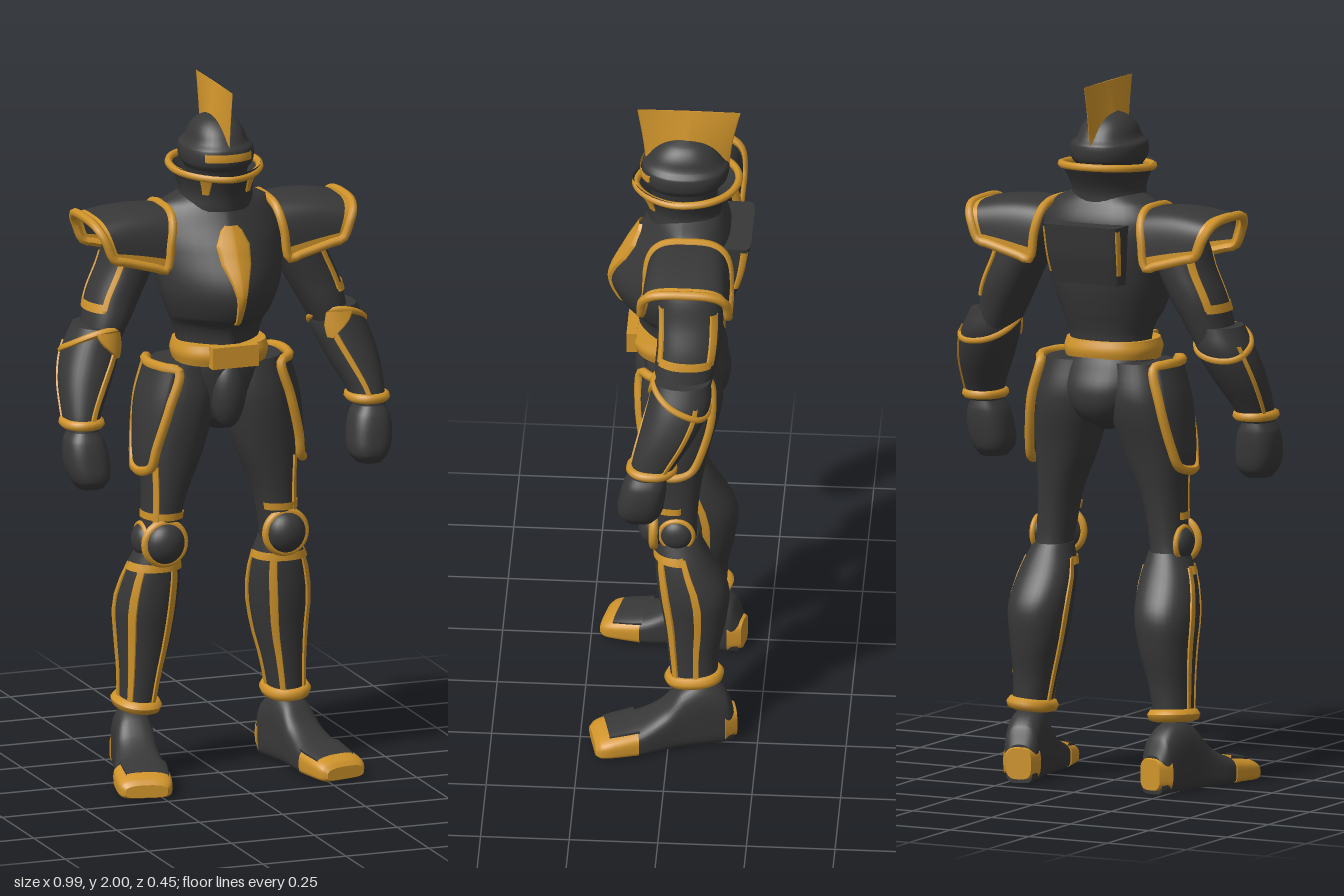
import * as THREE from 'three';

const dark = new THREE.MeshStandardMaterial({ color: 0x383838, side: THREE.DoubleSide });
dark.name = 'charcoal armour';
const gold = new THREE.MeshStandardMaterial({ color: 0xd0942b, side: THREE.DoubleSide });
gold.name = 'gold trim';

// Smooth grid from f(u, v) -> [x, y, z]; wrap closes it in u
function grid(f, nu, nv, wrap = false) {
  const pos = [], idx = [], w = wrap ? nu : nu + 1;
  for (let j = 0; j <= nv; j++) for (let i = 0; i < w; i++) pos.push(...f(i / nu, j));
  for (let j = 0; j < nv; j++) for (let i = 0; i < nu; i++) {
    const a = j * w + i, b = j * w + (i + 1) % w;
    idx.push(a, b, b + w, a, b + w, a + w);
  }
  const g = new THREE.BufferGeometry();
  g.setAttribute('position', new THREE.Float32BufferAttribute(pos, 3));
  g.setIndex(idx);
  g.computeVertexNormals();
  return g;
}

const pw = (c, e) => Math.sign(c) * Math.abs(c) ** e;

// Body surface from rows [y, centreX, halfWidth, zFront, zBack], y ascending.
// Angle 0 faces front, PI/2 faces +x. e and ef are the back and front roundness.
function surface(rows, e = 0.9, ef = e) {
  const n = rows.length - 1;
  const slope = (j, k) => {
    const p = rows[Math.max(j - 1, 0)], q = rows[Math.min(j + 1, n)];
    return (q[k] - p[k]) / (q[0] - p[0]);
  };
  const value = (y, k) => {
    let i = 0;
    while (i < n - 1 && y > rows[i + 1][0]) i++;
    const p = rows[i], q = rows[i + 1], h = q[0] - p[0];
    const t = THREE.MathUtils.clamp((y - p[0]) / h, 0, 1), t2 = t * t, t3 = t2 * t;
    return (2 * t3 - 3 * t2 + 1) * p[k] + (t3 - 2 * t2 + t) * h * slope(i, k)
      + (3 * t2 - 2 * t3) * q[k] + (t3 - t2) * h * slope(i + 1, k);
  };
  const at = (a, y, off = 0, s = 1) => {
    const c = Math.cos(a), x = c > 0 ? ef : e, zf = value(y, 3) + off, zb = value(y, 4) - off;
    return [value(y, 1) + s * (value(y, 2) + off) * pw(Math.sin(a), x), y,
      (zf + zb) / 2 + s * (zf - zb) / 2 * pw(c, x)];
  };
  return { rows, at };
}

// Closed (capped) or open skin over a surface
function skin(s, capped = true) {
  const ys = [], sub = 5;
  s.rows.forEach((r, i) => {
    if (!i) return ys.push([r[0], 1]);
    const p = s.rows[i - 1][0];
    for (let k = 1; k <= sub; k++) ys.push([p + (r[0] - p) * k / sub, 1]);
  });
  if (capped) {
    const lo = ys[0][0], hi = ys[ys.length - 1][0];
    ys.unshift([lo, 0], [lo, 1]);
    ys.push([hi, 1], [hi, 0]);
  }
  return grid((u, j) => s.at(u * Math.PI * 2, ys[j][0], 0, ys[j][1]), 36, ys.length - 1, true);
}

// Thin plate lying on a surface, its sides sunk into it; rows [y, angle0, angle1], y ascending
function patch(s, rows, off = 0.005) {
  const sub = 8;
  return grid((u, j) => {
    const i = Math.min(Math.floor(j / sub), rows.length - 2), t = j / sub - i;
    const [y, a, b] = rows[i].map((v, k) => v + (rows[i + 1][k] - v) * t);
    return s.at(a + (b - a) * u, y, u === 0 || u === 1 ? -.002 : off);
  }, 20, sub * (rows.length - 1));
}

const tube = (pts, r) => new THREE.TubeGeometry(
  new THREE.CatmullRomCurve3(pts.map(p => new THREE.Vector3(...p)), true), 80, r, 7, true);
const ring = (s, yOf, r, off = 0) => tube(Array.from({ length: 28 }, (_, i) => {
  const a = i / 28 * Math.PI * 2;
  return s.at(a, yOf(a), off);
}), r);
const ball = (x, y, z) => new THREE.SphereGeometry(1, 24, 16).scale(x, y, z);

function add(parent, name, geo, mat, x = 0, y = 0, z = 0) {
  const m = new THREE.Mesh(geo, mat);
  m.name = name;
  m.position.set(x, y, z);
  parent.add(m);
}

function buildCore(g) {
  const torso = surface([[1.2, 0, .115, .095, -.11], [1.28, 0, .122, .1, -.115], [1.32, 0, .136, .115, -.125],
    [1.35, 0, .15, .152, -.135], [1.43, 0, .178, .18, -.155], [1.54, 0, .195, .135, -.165],
    [1.61, 0, .192, .095, -.16], [1.66, 0, .16, .07, -.14], [1.69, 0, .1, .06, -.12]], 0.85, 1.45);
  add(g, 'torso', skin(torso), dark);
  add(g, 'chestEmblem', patch(torso, [[1.335, -.12, .12], [1.42, -.18, .18], [1.46, -.26, .26], [1.51, -.38, .38],
    [1.56, -.41, .41], [1.6, -.3, .3], [1.615, -.2, .2]], .008), gold);
  add(g, 'pelvis', skin(surface([[1.01, 0, .03, .03, -.06], [1.05, 0, .08, .065, -.135], [1.12, 0, .125, .08, -.16],
    [1.19, 0, .135, .09, -.14], [1.24, 0, .12, .09, -.12]])), dark);
  add(g, 'groinGuard', ball(.05, .1, .045), dark, 0, 1.12, .065);
  const belt = surface([[1.21, 0, .13, .112, -.125], [1.24, 0, .137, .12, -.132], [1.268, 0, .13, .112, -.125]], .85);
  add(g, 'belt', skin(belt), gold);
  add(g, 'buckle', new THREE.BoxGeometry(.14, .062, .03), gold, 0, 1.24, .116);

  // Back pack with gold sides
  const pack = surface([[1.44, 0, .105, -.12, -.18], [1.52, 0, .114, -.12, -.205], [1.61, 0, .118, -.12, -.222]], .25);
  add(g, 'backPack', skin(pack), dark);
  for (const s of [-1, 1]) {
    add(g, 'packSide', patch(pack, [[1.47, s * 1.62, s * 2.2], [1.6, s * 1.62, s * 2.2]], .003), gold);
  }

  // Collar and head
  const collar = surface([[1.65, 0, .115, .075, -.135], [1.7, 0, .105, .085, -.14], [1.77, 0, .13, .118, -.182]], .95, 1.15);
  add(g, 'collar', skin(collar, false), dark);
  add(g, 'collarRim', ring(collar, a => 1.762 - .01 * Math.cos(a), .011), gold);
  for (const s of [-1, 1]) add(g, 'collarTab', patch(collar, [[1.7, s * .6, s * .78], [1.75, s * .5, s * .8]]), gold);
  const helmet = surface([[1.66, 0, .07, .05, -.11], [1.76, 0, .085, .075, -.13], [1.785, 0, .1, .09, -.15],
    [1.825, 0, .101, .09, -.155], [1.842, 0, .085, .077, -.142], [1.875, 0, .072, .055, -.12],
    [1.9, 0, .05, .025, -.09], [1.915, 0, .015, -.01, -.05]]);
  add(g, 'helmet', skin(helmet), dark);
  add(g, 'visor', patch(helmet, [[1.797, -.72, .72], [1.82, -.72, .72]]), gold);
  add(g, 'crest', skin(surface([[1.82, 0, .036, .08, -.155], [1.9, 0, .024, .089, -.165], [2, 0, .002, .105, -.187]], 1.8)), gold);
}

function buildArm(g) {
  const upper = surface([[1.26, .355, .05, .03, -.115], [1.34, .325, .064, .035, -.135], [1.41, .298, .075, .03, -.15],
    [1.49, .262, .076, .03, -.155], [1.57, .235, .075, .03, -.15], [1.63, .215, .05, 0, -.12]]);
  add(g, 'upperArm', skin(upper), dark);
  add(g, 'upperArmBand', patch(upper, [[1.372, .5, 2.5], [1.397, .5, 2.5]]), gold);
  add(g, 'upperArmFrontLine', patch(upper, [[1.38, .48, .72], [1.53, .48, .72]]), gold);
  add(g, 'upperArmBackLine', patch(upper, [[1.38, 2.2, 2.52], [1.52, 2.2, 2.52]]), gold);

  const fore = surface([[1.05, .432, .046, .1, -.01], [1.1, .425, .055, .09, -.04], [1.18, .402, .074, .07, -.09],
    [1.26, .375, .08, .05, -.125], [1.33, .355, .065, .035, -.125]]);
  add(g, 'forearm', skin(fore), dark);
  add(g, 'elbowTrim', ring(fore, a => 1.282 + .042 * Math.cos(a + .25), .01, -.002), gold);
  add(g, 'elbowPlate', patch(fore, [[1.245, -.85, -.6], [1.28, -.85, -.05], [1.32, -.7, .4]], .008), gold);
  add(g, 'forearmInnerLine', patch(fore, [[1.08, -.35, -.08], [1.28, -.7, -.45]]), gold);
  add(g, 'forearmOuterLine', patch(fore, [[1.08, 2.0, 2.2], [1.28, 2.0, 2.15]]), gold);
  add(g, 'wristBand', ring(fore, () => 1.07, .014), gold);
  add(g, 'fist', skin(surface([[.888, .42, .035, .115, .03], [.915, .42, .055, .133, .01], [.96, .425, .063, .13, 0],
    [1.02, .43, .056, .115, -.005], [1.055, .432, .036, .095, 0]], .8)), dark);

  // Shoulder guard: an arch over z, flaring outwards
  const pad = (u, v) => {
    const th = (u - .5) * Math.PI, h = Math.cos(th) ** .5, out = 1 - h;
    const top = 1.655 + .035 * v - .05 * v * v, low = 1.495 + .045 * v;
    return [.155 + .235 * v + out * (.03 - .075 * v), low + (top - low) * h,
      -.05 + (.118 + .005 * v) * pw(Math.sin(th), .6)];
  };
  const padPart = (u0, u1, v0, v1) => grid((u, j) => pad(u0 + (u1 - u0) * u, v0 + (v1 - v0) * j / 8), 40, 8);
  add(g, 'shoulderGuard', padPart(.012, .988, 0, .89), dark);
  add(g, 'shoulderGuardOuterBand', padPart(0, 1, .89, 1), gold);
  add(g, 'shoulderGuardBackBand', padPart(0, .012, 0, .89), gold);
  add(g, 'shoulderGuardFrontBand', padPart(.988, 1, 0, .89), gold);

  // Piping round the guard's border
  const border = [], n = 14;
  for (let i = 0; i < n; i++) border.push(pad(i / n, 0));
  for (let i = 0; i < 5; i++) border.push(pad(1, i / 5));
  for (let i = 0; i < n; i++) border.push(pad(1 - i / n, 1));
  for (let i = 0; i < 5; i++) border.push(pad(0, 1 - i / 5));
  add(g, 'shoulderGuardRim', tube(border, .013), gold);
}

function buildLeg(g) {
  const thigh = surface([[.62, .19, .055, .03, -.08], [.7, .18, .052, .05, -.075], [.82, .165, .06, .062, -.085],
    [.95, .14, .088, .075, -.11], [1.1, .113, .1, .085, -.145], [1.21, .1, .085, .07, -.125]]);
  add(g, 'thigh', skin(thigh), dark);
  add(g, 'thighLine', patch(thigh, [[.74, .45, .8], [.92, .72, .97]]), gold);
  add(g, 'thighBand', patch(thigh, [[.762, -1.1, 1.9], [.783, -1.1, 1.9]]), gold);

  // Hip plate with piped edge
  const hip = surface([[.9, .155, .085, .07, -.09], [.98, .148, .093, .085, -.115],
    [1.1, .125, .105, .095, -.14], [1.215, .108, .09, .085, -.125]]);
  add(g, 'hipPlate', patch(hip, [[.905, .85, 2.1], [.98, .7, 2.35], [1.1, .5, 2.4], [1.215, .42, 2.4]], .008), dark);
  add(g, 'hipPlateTrim', tube([[1.2, .42], [1.1, .5], [.98, .7], [.92, .85], [.905, 1.2], [.905, 1.7], [.92, 2.1],
    [.98, 2.3], [1.1, 2.4], [1.2, 2.4], [1.208, 2], [1.208, 1.5], [1.208, .9]].map(([y, a]) => hip.at(a, y, .006)), .014), gold);

  // Knee
  add(g, 'kneeCap', ball(.058, .06, .045), dark, .182, .695, .045);
  add(g, 'kneeRing', new THREE.TorusGeometry(.058, .013, 8, 32), gold, .182, .695, .045);
  add(g, 'kneeSide', ball(.03, .046, .046), dark, .225, .695, -.02);
  add(g, 'kneeSideRing', new THREE.TorusGeometry(.046, .008, 8, 28).rotateY(Math.PI / 2), gold, .228, .695, -.02);

  const shin = surface([[.2, .225, .05, -.005, -.135], [.3, .215, .06, .005, -.14], [.4, .205, .076, .018, -.16],
    [.5, .2, .087, .035, -.165], [.6, .19, .078, .042, -.115], [.67, .183, .055, .04, -.08]]);
  add(g, 'shin', skin(shin), dark);
  for (const [name, a, w] of [['Inner', -.5, .15], ['Outer', .78, .16], ['OuterSide', 1.68, .1], ['InnerSide', -1.68, .1]]) {
    add(g, 'shin' + name + 'Line', patch(shin, [[.22, a - w, a + w], [.63, a - w, a + w]]), gold);
  }
  add(g, 'shinTopBand', patch(shin, [[.61, -1.75, 1.75], [.633, -1.75, 1.75]]), gold);
  add(g, 'ankleBand', ring(shin, a => .212 - .008 * Math.cos(a + .5), .019), gold);

  // Foot, lofted from heel to toe and turned outwards
  const foot = new THREE.Group();
  foot.name = 'foot';
  foot.position.set(.228, 0, -.1);
  foot.rotation.y = .225;
  g.add(foot);
  const turn = geo => geo.rotateX(Math.PI / 2);
  const shoe = surface([[-.078, 0, .038, 0, -.11], [-.055, 0, .05, 0, -.165], [.01, 0, .055, 0, -.2],
    [.07, 0, .057, 0, -.18], [.12, 0, .063, 0, -.125], [.19, 0, .075, 0, -.085], [.27, 0, .076, 0, -.064],
    [.3, 0, .07, 0, -.055]], .75, .4);
  add(foot, 'shoe', turn(skin(shoe)), dark);
  add(foot, 'toeCap', turn(skin(surface([[.2, 0, .079, -.001, -.082], [.27, 0, .079, -.001, -.068],
    [.305, 0, .073, -.001, -.056], [.32, 0, .06, -.006, -.042]], .75, .4))), gold);
  add(foot, 'toeTop', turn(patch(shoe, [[.195, 2.35, 4.2], [.28, 2.5, 4.1]], .009)), dark);
  add(foot, 'heelCap', turn(skin(surface([[-.087, 0, .036, -.012, -.1], [-.05, 0, .055, -.004, -.11]], .6))), gold);
}

// Mirrored copy with baked transforms and reversed faces
function mirrored(src, name) {
  const out = new THREE.Group();
  out.name = name;
  src.updateMatrixWorld(true);
  src.traverse(m => {
    if (!m.isMesh) return;
    const geo = m.geometry.clone().applyMatrix4(m.matrixWorld).scale(-1, 1, 1);
    geo.setIndex(Array.from(geo.index.array).reverse());
    geo.computeVertexNormals();
    add(out, m.name, geo, m.material);
  });
  return out;
}

export function createModel() {
  const model = new THREE.Group();
  model.name = 'armouredFigure';
  const core = new THREE.Group();
  core.name = 'body';
  buildCore(core);
  model.add(core);
  for (const [name, build] of [['Arm', buildArm], ['Leg', buildLeg]]) {
    const limb = new THREE.Group();
    limb.name = 'left' + name;
    build(limb);
    model.add(limb, mirrored(limb, 'right' + name));
  }
  return model;
}
